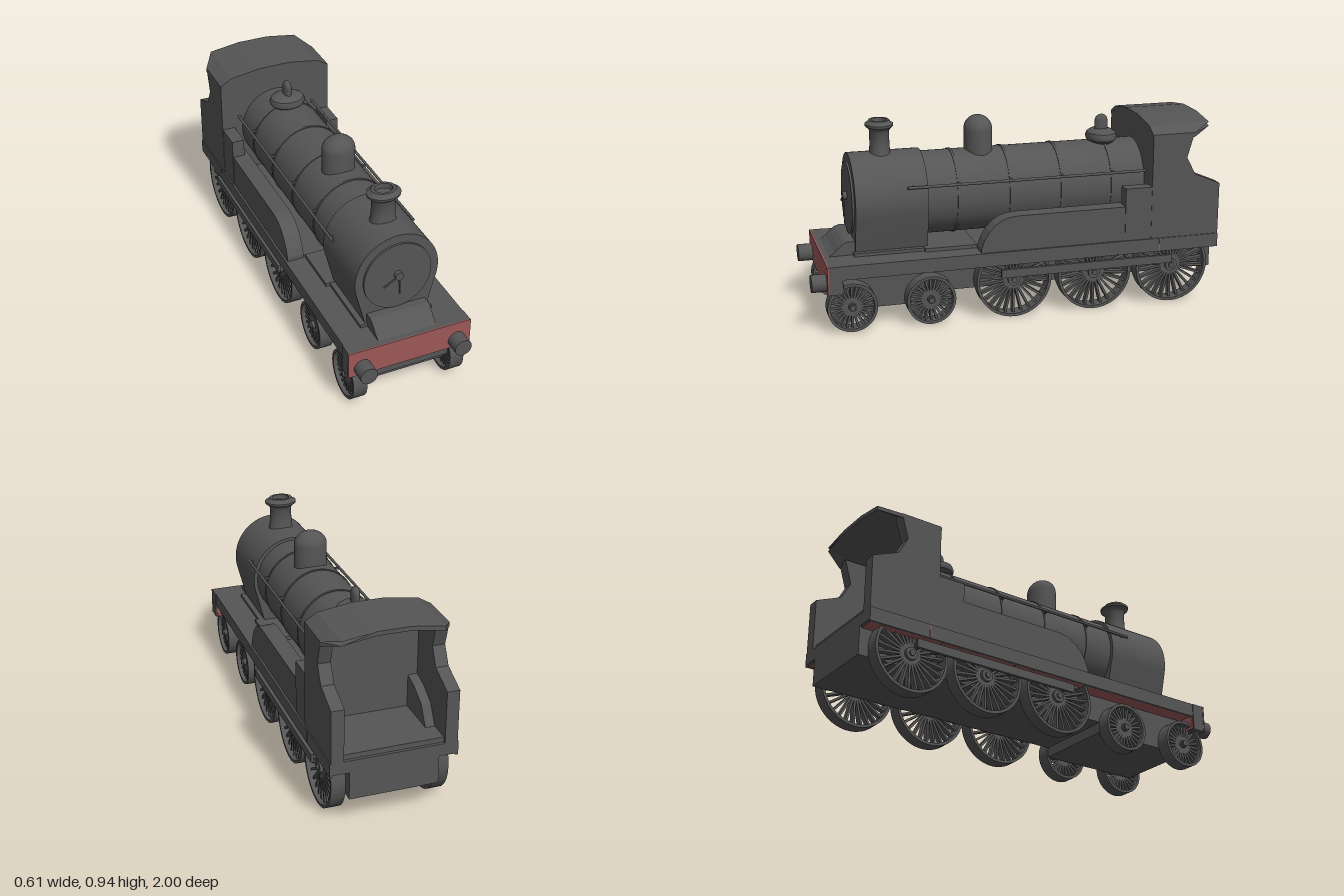
import * as THREE from 'three';
import { mergeGeometries, toCreasedNormals } from 'three/addons/utils/BufferGeometryUtils.js';

export function createModel() {
  const model = new THREE.Group();
  model.name = 'steamLocomotive';
  const grey = new THREE.MeshStandardMaterial({ color: 0x555555 });
  grey.name = 'dark grey';
  const red = new THREE.MeshStandardMaterial({ color: 0x9c5858 });
  red.name = 'dull red';

  const add = (name, geo, mat = grey) => {
    const mesh = new THREE.Mesh(geo, mat);
    mesh.name = name;
    model.add(mesh);
    return mesh;
  };
  // box given by its lower and upper limits
  const boxGeo = (x0, x1, y0, y1, z0, z1) =>
    new THREE.BoxGeometry(x1 - x0, y1 - y0, z1 - z0).translate((x0 + x1) / 2, (y0 + y1) / 2, (z0 + z1) / 2);
  const box = (name, x0, x1, y0, y1, z0, z1, mat) => add(name, boxGeo(x0, x1, y0, y1, z0, z1), mat);
  const shapeOf = (pts) => new THREE.Shape(pts.map(([a, b]) => new THREE.Vector2(a, b)));
  // side profile (z, y) extruded across x
  const sidePrism = (pts, x0, x1) =>
    new THREE.ExtrudeGeometry(shapeOf(pts), { depth: x1 - x0, bevelEnabled: false })
      .rotateY(-Math.PI / 2).translate(x1, 0, 0);
  // front profile (x, y) extruded along z
  const frontPrism = (pts, z0, z1) =>
    new THREE.ExtrudeGeometry(shapeOf(pts), { depth: z1 - z0, bevelEnabled: false }).translate(0, 0, z0);
  const span = (s, a, b) => (s > 0 ? [a, b] : [-b, -a]);
  const rodZ = (r, z0, z1, n = 32) =>
    new THREE.CylinderGeometry(r, r, z1 - z0, n).rotateX(Math.PI / 2).translate(0, 0, (z0 + z1) / 2);

  // frames and running plate
  box('mainFrame', -0.21, 0.21, 0.15, 0.29, -1, 0.9);
  box('bogieFrame', -0.21, 0.21, 0.1, 0.2, 0.33, 0.86);
  box('runningPlate', -0.3, 0.3, 0.285, 0.345, -1, 0.92);
  box('plateUnderside', -0.285, 0.285, 0.279, 0.286, -0.99, 0.85, red);
  box('bufferBeam', -0.303, 0.303, 0.21, 0.345, 0.86, 0.925);
  box('bufferBeamFace', -0.305, 0.305, 0.21, 0.345, 0.924, 0.931, red);
  box('bufferBeamBack', -0.295, 0.295, 0.213, 0.285, 0.855, 0.861, red);
  box('boilerStep', -0.2, 0.2, 0.34, 0.362, 0.2, 0.45);
  for (const s of [-1, 1]) {
    box('valance', ...span(s, 0.287, 0.3), 0.278, 0.29, -1, 0.9);
    box('valanceMark', ...span(s, 0.299, 0.302), 0.282, 0.342, -0.697, -0.692, red);
    add('buffer', rodZ(0.042, 0.92, 1).translate(s * 0.235, 0.252, 0));
  }

  // boiler, slightly taller than wide
  const cy = 0.585;
  const boiler = add('boiler', rodZ(1, -0.67, 0.45, 64));
  boiler.scale.set(0.187, 0.2, 1);
  boiler.position.y = cy;
  for (const z of [0.28, 0.025, -0.23, -0.485]) {
    const band = add('boilerBand', rodZ(1, z - 0.006, z + 0.006, 64));
    band.scale.set(0.191, 0.204, 1);
    band.position.y = cy;
  }

  // smokebox with sides running down into the saddle
  const arch = [[-0.15, 0.345], [0.15, 0.345]];
  for (let i = 0; i <= 40; i++) {
    const a = -0.25 + (i / 40) * (Math.PI + 0.5);
    arch.push([0.205 * Math.cos(a), cy + 0.215 * Math.sin(a)]);
  }
  add('smokebox', toCreasedNormals(frontPrism(arch, 0.43, 0.775), 0.4));
  const door = add('smokeboxDoor', rodZ(1, 0.77, 0.785, 64));
  door.scale.set(0.166, 0.172, 1);
  door.position.y = cy;
  add('doorBoss', rodZ(0.02, 0.78, 0.805, 20).translate(0, 0.595, 0));
  for (const [dx, dy] of [[-0.075, -0.043], [0.005, -0.098]]) {
    const path = new THREE.LineCurve3(new THREE.Vector3(0, 0.595, 0.8), new THREE.Vector3(dx, 0.595 + dy, 0.8));
    add('doorHandle', new THREE.TubeGeometry(path, 1, 0.004, 8));
  }
  add('frontApron', sidePrism([[0.9, 0.345], [0.875, 0.36], [0.85, 0.385], [0.83, 0.402], [0.81, 0.41],
    [0.77, 0.41], [0.77, 0.345]], -0.145, 0.145));
  box('saddleFoot', -0.18, 0.18, 0.34, 0.36, 0.43, 0.785);

  // boiler fittings, turned profiles widened across x
  const turned = (name, z, pts) => {
    const geo = new THREE.LatheGeometry(pts.map(([r, y]) => new THREE.Vector2(r, y)), 40);
    const mesh = add(name, toCreasedNormals(geo, 0.6));
    mesh.scale.x = 1.2;
    mesh.position.z = z;
    return mesh;
  };
  turned('chimney', 0.62, [[0.058, 0.76], [0.05, 0.8], [0.047, 0.83], [0.046, 0.9], [0.052, 0.912], [0.066, 0.924],
    [0.067, 0.935], [0.055, 0.942], [0.048, 0.953], [0.036, 0.953], [0.034, 0.93], [0, 0.93]]);
  const domePts = [[0.068, 0.73], [0.068, 0.88]];
  for (let i = 1; i <= 10; i++) {
    const a = (i / 10) * Math.PI / 2;
    domePts.push([i === 10 ? 0 : 0.068 * Math.cos(a), 0.88 + 0.068 * Math.sin(a)]);
  }
  turned('steamDome', 0.14, domePts);
  turned('valveBase', -0.487, [[0.05, 0.75], [0.055, 0.775], [0.072, 0.79], [0.076, 0.806], [0.07, 0.824],
    [0.05, 0.838], [0.03, 0.842], [0, 0.842]]);
  const valve = add('safetyValve', new THREE.CapsuleGeometry(0.033, 0.06, 8, 20));
  valve.scale.x = 0.6;
  valve.position.set(0, 0.85, -0.487);

  // handrails, splashers and cab sides
  for (const s of [-1, 1]) {
    add('handrail', rodZ(0.007, -0.66, 0.53, 10).translate(s * 0.203, 0.665, 0));
    for (const z of [0.5, 0.28, 0.025, -0.23, -0.485]) {
      box('handrailPost', ...span(s, 0.165, 0.203), 0.66, 0.67, z - 0.005, z + 0.005);
    }
    add('splasher', sidePrism([[0.2, 0.34], [0.2, 0.365], [0.185, 0.405], [0.16, 0.447], [0.13, 0.478], [0.095, 0.5],
      [0.06, 0.511], [0.02, 0.515], [-0.66, 0.515], [-0.66, 0.34]], ...span(s, 0.207, 0.29)));
    box('cabStep', ...span(s, 0.23, 0.293), 0.34, 0.605, -0.66, -0.517);
    add('cabSide', sidePrism([[-0.65, 0.34], [-1, 0.34], [-1, 0.6], [-0.87, 0.655], [-0.825, 0.74], [-0.86, 0.862],
      [-0.65, 0.862]], ...span(s, 0.235, 0.295)));
    // rear wheel cover inside the cab
    add('cabWheelCover', sidePrism([[-0.66, 0.36], [-0.66, 0.53], [-0.74, 0.51], [-0.83, 0.46], [-0.89, 0.36]],
      ...span(s, 0.19, 0.24)));
  }

  // cab front, floor and roof with clipped rear corners
  add('cabFront', frontPrism([[-0.295, 0.34], [0.295, 0.34], [0.295, 0.855], [0.235, 0.89], [0.08, 0.912],
    [-0.08, 0.912], [-0.235, 0.89], [-0.295, 0.855]], -0.67, -0.65));
  box('cabFloor', -0.24, 0.24, 0.34, 0.37, -0.985, -0.66);
  const ridge = [[0.295, 0.86], [0.235, 0.896], [0.08, 0.919]];
  const roofTop = [...ridge, ...ridge.map(([x, y]) => [-x, y]).reverse()];
  const roofUnder = roofTop.map(([x, y]) => [x, y - 0.02]).reverse();
  const roof = frontPrism([...roofTop, ...roofUnder], -0.957, -0.648);
  const rp = roof.attributes.position;
  for (let i = 0; i < rp.count; i++) {
    if (Math.abs(rp.getX(i)) > 0.28 && rp.getZ(i) < -0.8) rp.setZ(i, -0.86);
  }
  roof.computeVertexNormals();
  add('cabRoof', roof);

  // spoked wheels, axle along x
  const wheelGeo = (r, spokes) => {
    const t = 0.014, w = 0.034;
    const rim = new THREE.LatheGeometry([[r - t, -w], [r, -w], [r, w], [r - t, w], [r - t, -w]]
      .map(([a, b]) => new THREE.Vector2(a, b)), 48);
    const parts = [toCreasedNormals(rim, 0.6), new THREE.CylinderGeometry(r * 0.16, r * 0.16, 0.06, 20).toNonIndexed(),
      new THREE.CylinderGeometry(0.014, 0.014, 0.076, 12).toNonIndexed()];
    for (let i = 0; i < spokes; i++) {
      parts.push(new THREE.BoxGeometry(r - t * 0.8, 0.03, 0.011).translate((r - t * 0.8) / 2, 0, 0)
        .rotateY((i / spokes) * Math.PI * 2).toNonIndexed());
    }
    return mergeGeometries(parts).rotateZ(Math.PI / 2);
  };
  const smallWheel = wheelGeo(0.118, 24);
  const largeWheel = wheelGeo(0.185, 26);
  for (const s of [-1, 1]) {
    for (const z of [0.815, 0.44]) add('bogieWheel', smallWheel).position.set(s * 0.244, 0.13, z);
    for (const z of [0.035, -0.37, -0.77]) {
      add('drivingWheel', largeWheel).position.set(s * 0.244, 0.193, z);
      const pin = new THREE.CylinderGeometry(0.014, 0.014, 0.04, 12).rotateZ(Math.PI / 2);
      add('crankPin', pin).position.set(s * 0.282, 0.236, z + 0.03);
    }
    box('couplingRod', ...span(s, 0.288, 0.304), 0.216, 0.257, -0.76, 0.105);
  }
  // axles
  for (const [z, y] of [[0.815, 0.13], [0.44, 0.13], [0.035, 0.193], [-0.37, 0.193], [-0.77, 0.193]]) {
    add('axle', new THREE.CylinderGeometry(0.015, 0.015, 0.48, 12).rotateZ(Math.PI / 2)).position.set(0, y, z);
  }

  // rest the wheels on the ground
  model.children.forEach((m) => { m.position.y -= 0.004; });
  return model;
}
